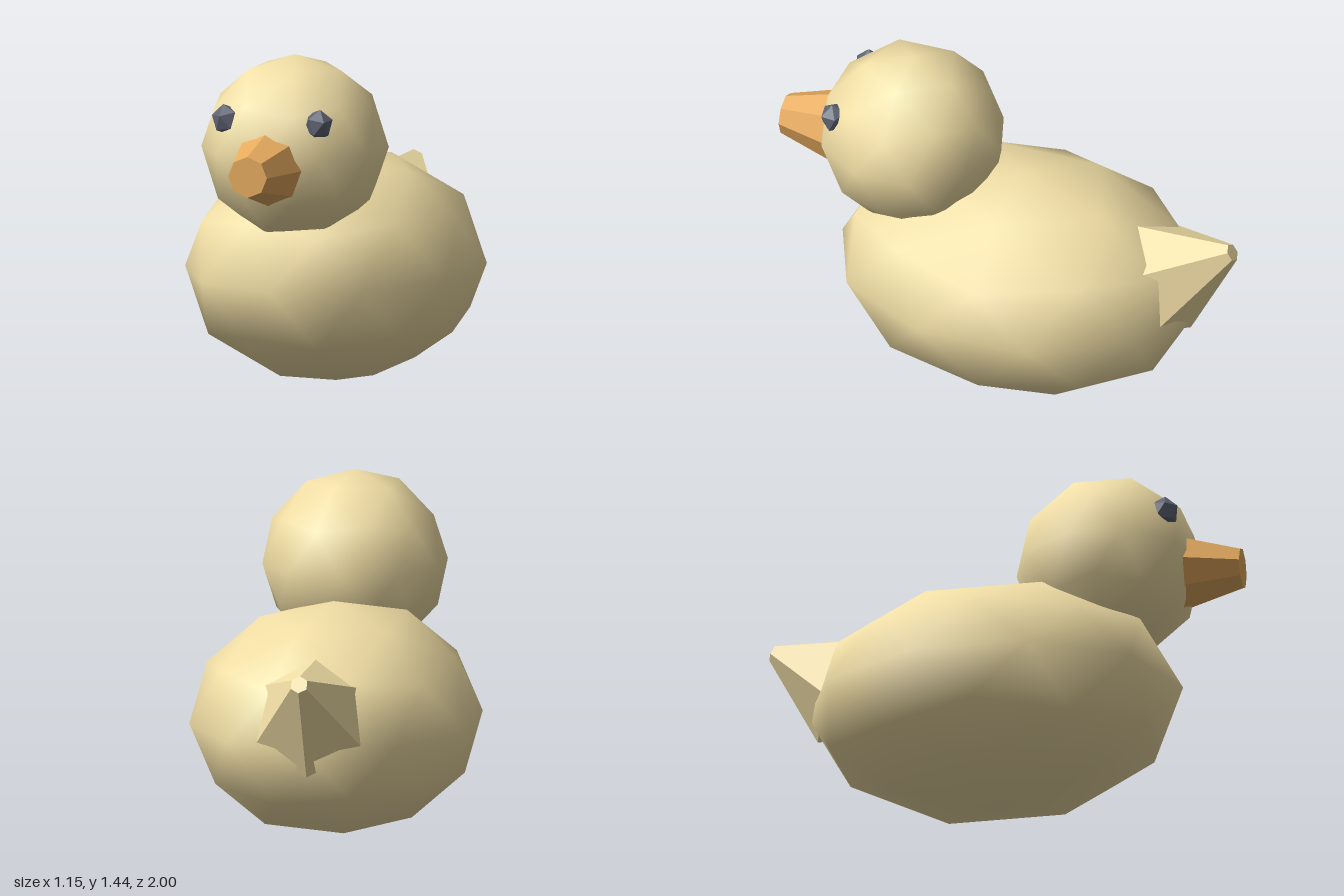
import * as THREE from 'three';

const yellow = new THREE.MeshStandardMaterial({ color: 0xf2dfa6 });
const yellowFlat = new THREE.MeshStandardMaterial({ color: 0xf2dfa6, flatShading: true });
const orange = new THREE.MeshStandardMaterial({ color: 0xe6ab5e, flatShading: true });
const dark = new THREE.MeshStandardMaterial({ color: 0x5f6473, flatShading: true });

// Icosphere with a vertex at the top pole, stretched to the given radii
function icoBall(rx, ry, rz, detail) {
  const geo = new THREE.IcosahedronGeometry(1, detail);
  geo.rotateZ(-Math.atan(2 / (1 + Math.sqrt(5))));
  return geo.scale(rx, ry, rz);
}

export function createModel() {
  const model = new THREE.Group();
  const add = (name, geo, material, x, y, z, tilt = 0) => {
    const mesh = new THREE.Mesh(geo, material);
    mesh.name = name;
    mesh.position.set(x, y, z);
    mesh.rotation.x = tilt;
    model.add(mesh);
    return mesh;
  };

  // Smooth, low-poly body and head
  add('body', icoBall(0.606, 0.4875, 0.793, 1), yellow, 0, 0.4875, -0.045);
  add('head', icoBall(0.389, 0.388, 0.393, 1), yellow, 0, 1.057, 0.438);

  // Eight-sided beak, narrowing to a blunt front
  add('beak', new THREE.CylinderGeometry(0.086, 0.189, 0.35, 8), orange, 0, 1.013, 0.825, Math.PI / 2);

  // Six-sided tail, pointing back and up
  add('tail', new THREE.CylinderGeometry(0.038, 0.266, 0.38, 6), yellowFlat, 0, 0.697, -0.818, -1.02);

  // Faceted eyes
  for (const side of [1, -1]) {
    const eye = add(side > 0 ? 'leftEye' : 'rightEye', icoBall(0.063, 0.067, 0.063, 0),
      dark, side * 0.203, 1.2, 0.706);
    eye.rotation.set(0.2, side * 0.4, side * -0.2);
  }

  return model;
}
